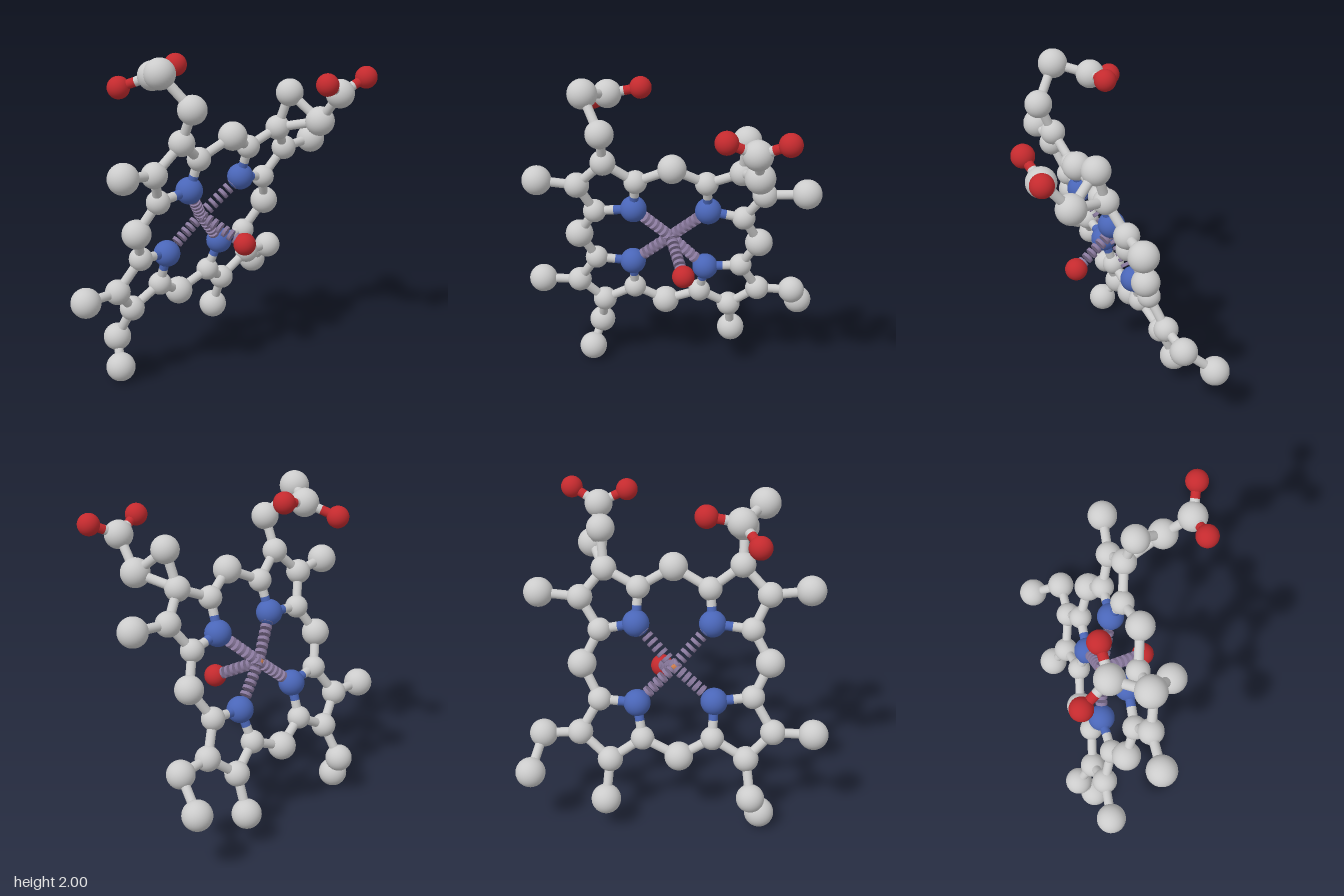
import * as THREE from 'three';

const V = (a) => new THREE.Vector3(...a);
const paint = (color) => new THREE.MeshStandardMaterial({ color });
const MAT = {
  C: paint(0xcccccc), N: paint(0x4a66b8), O: paint(0xc42a2e),
  Fe: paint(0xd08050), dash: paint(0x8a7a9e),
};
const NAMES = { C: 'carbon', N: 'nitrogen', O: 'oxygen', Fe: 'iron' };
const UP = new THREE.Vector3(0, 1, 0);
const BOND_R = 0.028;

export function createModel() {
  const model = new THREE.Group();
  const ball = new THREE.SphereGeometry(1, 32, 20);
  const rod = new THREE.CylinderGeometry(1, 1, 1, 20);

  const add = (parent, geometry, material, name) => {
    const mesh = new THREE.Mesh(geometry, material);
    mesh.name = name;
    parent.add(mesh);
    return mesh;
  };

  // One ball
  const atom = (parent, el, pos, r) => {
    const mesh = add(parent, ball, MAT[el], NAMES[el] + 'Ball');
    mesh.position.set(...pos);
    mesh.scale.setScalar(r);
    return { el, p: V(pos) };
  };

  // Cylinder between two points
  const stick = (parent, a, b, r, mat, name) => {
    const mesh = add(parent, rod, mat, name);
    const d = b.clone().sub(a);
    mesh.position.copy(a).addScaledVector(d, 0.5);
    mesh.scale.set(r, d.length(), r);
    mesh.quaternion.setFromUnitVectors(UP, d.normalize());
  };

  // Bond: each half takes the colour of its own ball
  const bond = (parent, a, b) => {
    const mid = a.p.clone().lerp(b.p, 0.5);
    stick(parent, a.p, mid, BOND_R, MAT[a.el], 'bond');
    stick(parent, mid, b.p, BOND_R, MAT[b.el], 'bond');
  };

  // Dashed link made of short discs
  const dashed = (parent, a, b, n) => {
    for (let i = 0; i < n; i++) {
      const t = (i + 0.5) / n, h = 0.25 / n;
      stick(parent, a.p.clone().lerp(b.p, t - h), a.p.clone().lerp(b.p, t + h),
        0.036, MAT.dash, 'dash');
    }
  };

  const group = (name) => {
    const g = new THREE.Group();
    g.name = name;
    model.add(g);
    return g;
  };

  // Five-sided ring: nitrogen, inner carbon, two outer carbons, inner carbon
  const ring = (name, n, a1, b1, b2, a2) => {
    const g = group(name);
    const atoms = [atom(g, 'N', n, 0.08),
      ...[a1, b1, b2, a2].map((p, i) => atom(g, 'C', p, i % 3 ? 0.075 : 0.07))];
    atoms.forEach((a, i) => bond(g, a, atoms[(i + 1) % 5]));
    return atoms;
  };

  // Side chain of carbons growing from a ring carbon
  const chain = (name, root, ...points) => {
    const g = group(name);
    let last = root;
    return points.map((p, i) => {
      const a = atom(g, 'C', p, i === points.length - 1 ? 0.088 : 0.083);
      bond(g, last, a);
      last = a;
      return a;
    });
  };

  // Forked end with two oxygens
  const fork = (name, root, c, o1, o2) => {
    const g = group(name);
    const carbon = atom(g, 'C', c, 0.085);
    bond(g, root, carbon);
    [o1, o2].forEach((o) => bond(g, carbon, atom(g, 'O', o, 0.066)));
  };

  // Four rings
  const A = ring('upperFrontRing', [-0.19, 1.19, 0.28], [-0.275, 1.17, 0.5],
    [-0.235, 1.36, 0.61], [-0.135, 1.52, 0.47], [-0.125, 1.385, 0.28]);
  const B = ring('upperBackRing', [-0.06, 1.18, -0.15], [0.005, 1.38, -0.12],
    [0.12, 1.47, -0.3], [0.1, 1.31, -0.45], [0, 1.135, -0.355]);
  const C = ring('lowerBackRing', [-0.22, 0.74, -0.18], [-0.15, 0.755, -0.39],
    [-0.18, 0.565, -0.515], [-0.29, 0.42, -0.36], [-0.295, 0.54, -0.165]);
  const D = ring('lowerFrontRing', [-0.36, 0.77, 0.25], [-0.425, 0.56, 0.225],
    [-0.52, 0.45, 0.405], [-0.52, 0.61, 0.565], [-0.415, 0.8, 0.47]);

  // Bridges joining neighbouring rings
  const bridges = group('bridges');
  [[A, B, [0, 1.49, 0.09]], [B, C, [-0.04, 0.945, -0.47]],
    [C, D, [-0.4, 0.45, 0.03]], [D, A, [-0.375, 0.99, 0.58]]].forEach(([r, s, p]) => {
    const c = atom(bridges, 'C', p, 0.085);
    bond(bridges, r[4], c);
    bond(bridges, c, s[1]);
  });

  // Single-ball side groups
  chain('upperFrontStub', A[2], [-0.3, 1.39, 0.835]);
  chain('upperBackStub', B[3], [0.19, 1.325, -0.68]);
  chain('lowerBackStub', C[3], [-0.375, 0.2, -0.405]);
  chain('lowerFrontStub', D[3], [-0.6, 0.61, 0.785]);

  // Two-ball side groups
  chain('backTail', C[2], [-0.12, 0.55, -0.725], [-0.28, 0.39, -0.835]);
  chain('frontTail', D[2], [-0.63, 0.245, 0.405], [-0.565, 0.09, 0.485]);

  // Long arms with forked ends
  const armA = chain('frontArm', A[3], [-0.052, 1.72, 0.5], [-0.215, 1.915, 0.56]);
  fork('frontFork', armA[1], [-0.357, 1.865, 0.385],
    [-0.31, 1.9, 0.195], [-0.55, 1.79, 0.43]);
  const armB = chain('backArm', B[2], [0.195, 1.69, -0.3], [0.385, 1.53, -0.315]);
  bond(model.getObjectByName('backArm'), B[2], armB[1]);
  fork('backFork', armB[1], [0.53, 1.72, -0.247],
    [0.513, 1.8, -0.075], [0.638, 1.8, -0.39]);

  // Centre with dashed links to the four nitrogens and one free oxygen
  const core = group('core');
  const iron = atom(core, 'Fe', [-0.235, 0.965, 0.04], 0.03);
  [A, B, C, D].forEach((r) => dashed(core, iron, r[0], 8));
  dashed(core, iron, atom(core, 'O', [0.053, 0.82, 0.037], 0.068), 8);

  return model;
}
